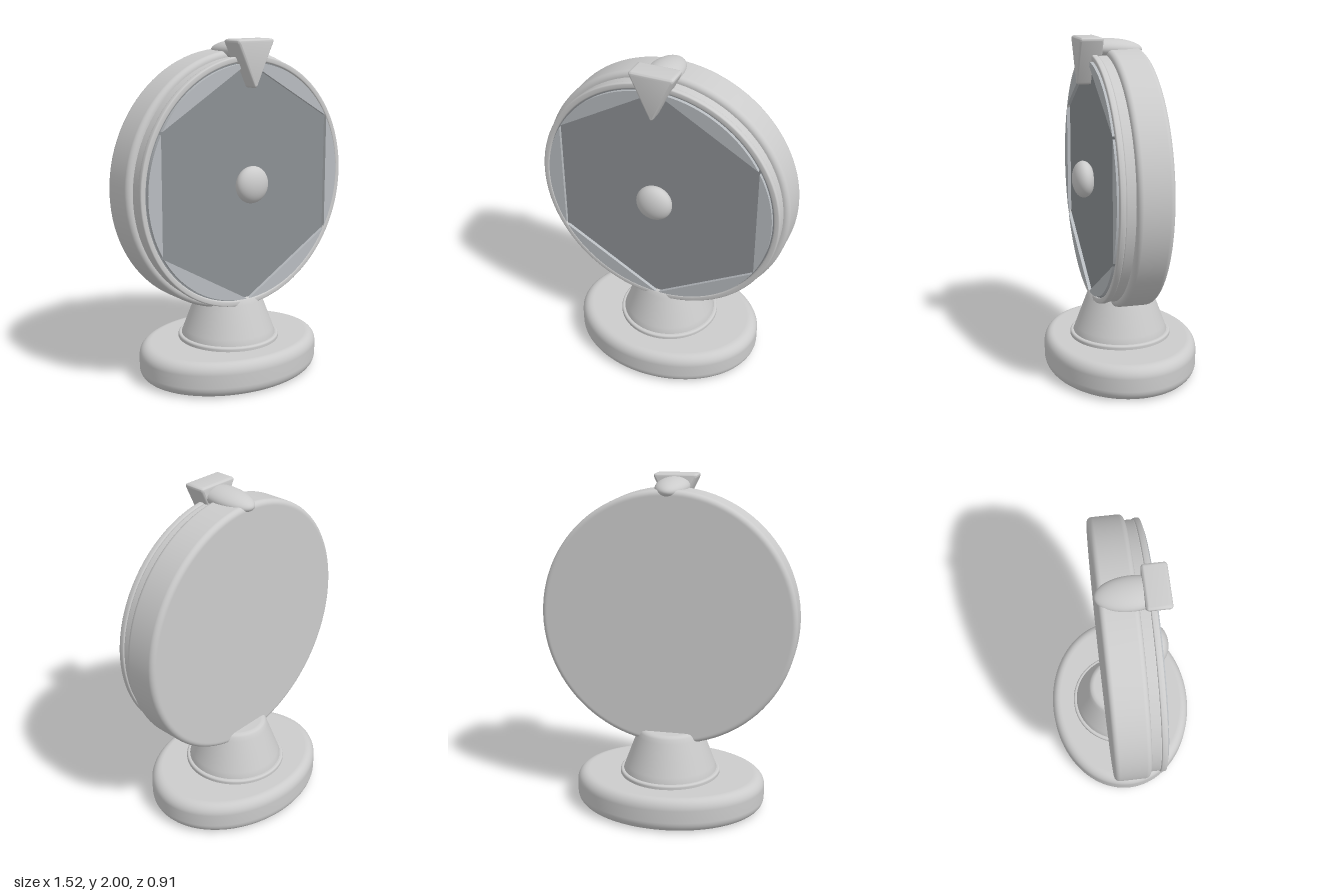
import * as THREE from 'three';
import { toCreasedNormals } from 'three/addons/utils/BufferGeometryUtils.js';

const grey = new THREE.MeshStandardMaterial({ color: 0xcccccc });
const panelGrey = new THREE.MeshStandardMaterial({ color: 0xb8bcc0 });
const grooveGrey = new THREE.MeshStandardMaterial({ color: 0x8c9094 });
const WHEEL_Y = 1.175;

function add(parent, name, geometry, material = grey) {
  const mesh = new THREE.Mesh(geometry, material);
  mesh.name = name;
  parent.add(mesh);
  return mesh;
}

// Solid disc around the y axis with rounded rims, from y0 to y1
function roundedDisc(radius, y0, y1, bevel) {
  const points = [new THREE.Vector2(0, y0), new THREE.Vector2(radius - bevel - 0.005, y0)];
  const steps = 8;
  for (const [cy, start] of [[y0 + bevel, -Math.PI / 2], [y1 - bevel, 0]]) {
    for (let i = 0; i <= steps; i++) {
      const a = start + (i / steps) * (Math.PI / 2);
      points.push(new THREE.Vector2(radius - bevel + bevel * Math.cos(a), cy + bevel * Math.sin(a)));
    }
  }
  points.push(new THREE.Vector2(radius - bevel - 0.005, y1), new THREE.Vector2(0, y1));
  return new THREE.LatheGeometry(points, 96);
}

// Triangle with rounded corners
function roundedTriangle(corners, r) {
  const shape = new THREE.Shape();
  corners.forEach((c, i) => {
    const before = corners[(i + 2) % 3], after = corners[(i + 1) % 3];
    const a = c.clone().add(before.clone().sub(c).setLength(r));
    const b = c.clone().add(after.clone().sub(c).setLength(r));
    if (i === 0) shape.moveTo(a.x, a.y);
    else shape.lineTo(a.x, a.y);
    shape.quadraticCurveTo(c.x, c.y, b.x, b.y);
  });
  shape.closePath();
  return shape;
}

export function createModel() {
  const model = new THREE.Group();
  model.name = 'prizeWheel';

  // Oval foot, collar and tapered stand
  add(model, 'base', roundedDisc(0.58, 0, 0.205, 0.065)).scale.z = 0.455 / 0.58;
  add(model, 'collar', roundedDisc(0.305, 0.19, 0.23, 0.012)).position.z = -0.005;
  const standProfile = [
    [0.285, 0.2], [0.285, 0.23], [0.272, 0.265], [0.235, 0.365], [0.203, 0.45],
    [0.193, 0.474], [0.184, 0.486], [0.17, 0.491], [0.16, 0.492], [0, 0.492],
  ].map(([x, y]) => new THREE.Vector2(x, y));
  add(model, 'stand', new THREE.LatheGeometry(standProfile, 64)).position.z = -0.005;

  // Wheel: built facing +z around its own centre
  const wheel = new THREE.Group();
  wheel.name = 'wheel';
  wheel.position.y = WHEEL_Y;
  model.add(wheel);
  add(wheel, 'housing', roundedDisc(0.76, -0.115, 0.092, 0.03)).rotation.x = Math.PI / 2;
  add(wheel, 'innerDrum', roundedDisc(0.725, 0.08, 0.148, 0.008)).rotation.x = Math.PI / 2;
  add(wheel, 'grooveBacking', new THREE.CylinderGeometry(0.71, 0.71, 0.03, 96), grooveGrey)
    .rotation.x = Math.PI / 2;
  wheel.getObjectByName('grooveBacking').position.z = 0.154;

  // Raised rim around the panels
  const rimProfile = [];
  for (let i = 0; i <= 20; i++) {
    const a = (i / 20) * Math.PI * 2;
    const squash = (v) => Math.sign(v) * Math.sqrt(Math.abs(v));
    rimProfile.push(new THREE.Vector2(0.715 + 0.017 * squash(Math.cos(a)), 0.163 + 0.018 * squash(Math.sin(a))));
  }
  add(wheel, 'rim', new THREE.LatheGeometry(rimProfile, 96)).rotation.x = Math.PI / 2;

  // Six panels separated by narrow tapering grooves
  const gap = 0.013;
  for (let i = 0; i < 6; i++) {
    const start = Math.PI / 6 + (i * Math.PI) / 3;
    const panel = new THREE.Shape();
    panel.moveTo(0.01 * Math.cos(start + Math.PI / 6), 0.01 * Math.sin(start + Math.PI / 6));
    panel.absarc(0, 0, 0.69, start + gap, start + Math.PI / 3 - gap, false);
    panel.closePath();
    const geometry = new THREE.ExtrudeGeometry(panel, { depth: 0.03, bevelEnabled: false, curveSegments: 20 });
    add(wheel, 'panel', toCreasedNormals(geometry, 0.5), panelGrey).position.z = 0.159;
  }

  // Domed hub
  const hub = add(wheel, 'hub', new THREE.SphereGeometry(0.108, 48, 32));
  hub.scale.z = 0.6;
  hub.position.z = 0.217;

  // Pointer and the arm holding it over the wheel
  const triangle = roundedTriangle([
    new THREE.Vector2(-0.138, 2), new THREE.Vector2(0, 1.715), new THREE.Vector2(0.138, 2),
  ], 0.03);
  const pointer = new THREE.ExtrudeGeometry(triangle, {
    depth: 0.101, bevelThickness: 0.018, bevelSize: 0.018, bevelOffset: -0.018, bevelSegments: 5, curveSegments: 8,
  });
  add(model, 'pointer', toCreasedNormals(pointer, 0.7)).position.z = 0.135;
  const arm = add(model, 'pointerArm', new THREE.SphereGeometry(1, 48, 32));
  arm.scale.set(0.098, 0.057, 0.185);
  arm.position.set(0, 1.93, 0.052);
  arm.rotation.x = -0.05;

  return model;
}
